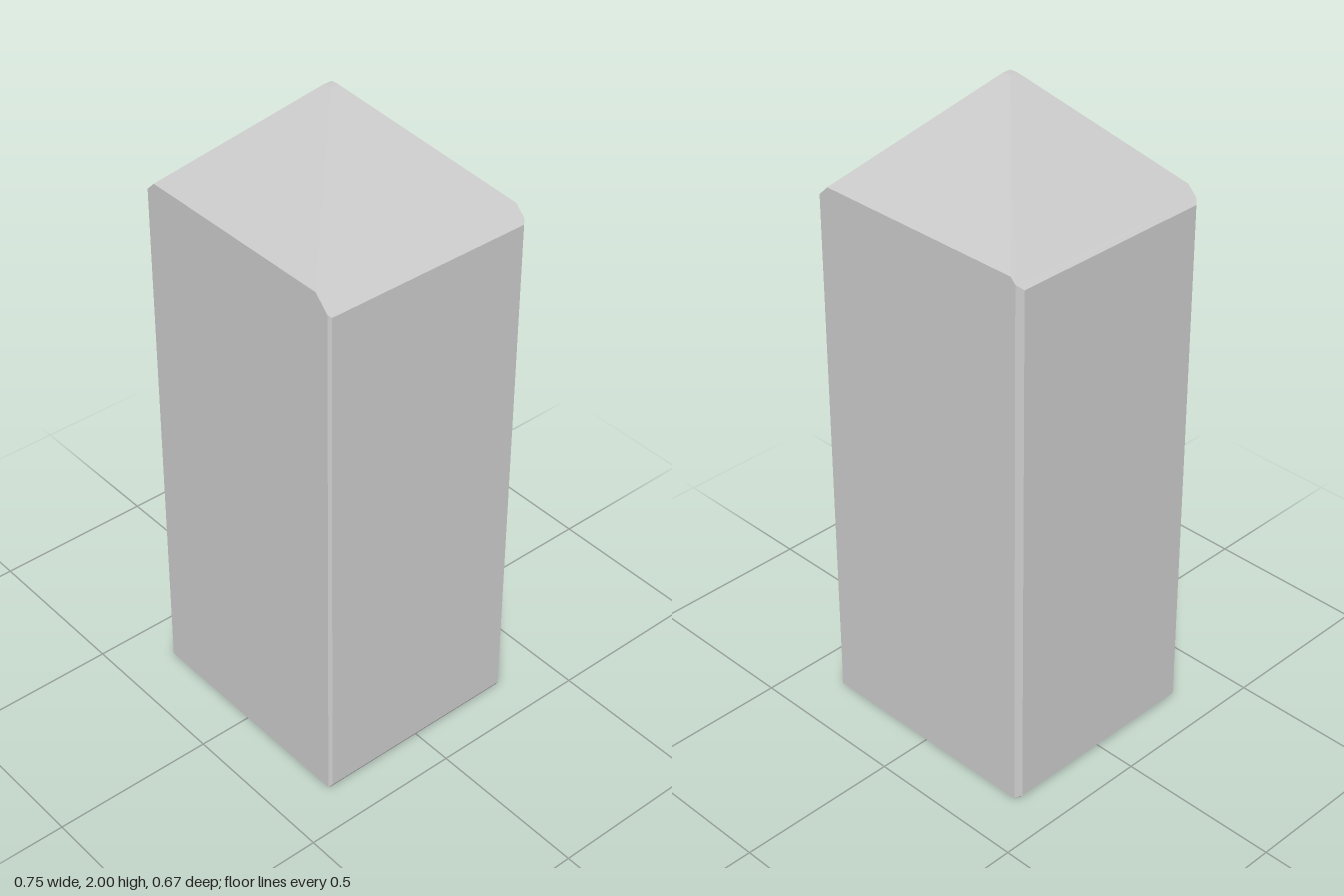
import * as THREE from 'three';
import { ConvexGeometry } from 'three/addons/geometries/ConvexGeometry.js';

const W = 0.375, D = 0.333;                                // half width and half depth
const cap = { x0: -0.018, x1: 0.008, z0: -0.008, z1: 0.018 }; // small flat tip at y = 2

// Height of the 45 degree hipped top above a plan point
const roof = (x, z) => 2 - Math.max(0, x - cap.x1, cap.x0 - x, z - cap.z1, cap.z0 - z);

export function createModel() {
  const group = new THREE.Group();
  group.name = 'pointedBlock';
  const points = [];
  const add = (x, y, z) => points.push(new THREE.Vector3(x, y, z));

  // Four walls with worn, slightly uneven corner chamfers: [x sign, z sign, cut]
  for (const [sx, sz, cut] of [[-1, -1, 0.016], [1, -1, 0.01], [1, 1, 0.008], [-1, 1, 0.013]]) {
    for (const [x, z] of [[sx * W, sz * (D - cut)], [sx * (W - cut), sz * D]]) {
      add(x, roof(x, z), z);
      add(x, 0.012, z);
      // Foot bevel along the two sides
      add(THREE.MathUtils.clamp(x, -W + 0.01, W - 0.006), 0, z);
    }
    // Tip corner, and the point where its hip meets the front or back wall
    const cx = sx > 0 ? cap.x1 : cap.x0, cz = sz > 0 ? cap.z1 : cap.z0;
    add(cx, 2, cz);
    const hipX = cx + sx * Math.abs(sz * D - cz);
    add(hipX, roof(hipX, sz * D), sz * D);
  }

  const block = new THREE.Mesh(
    new ConvexGeometry(points),
    new THREE.MeshStandardMaterial({ color: 0xcccccc, flatShading: true })
  );
  block.name = 'post';
  group.add(block);
  return group;
}
